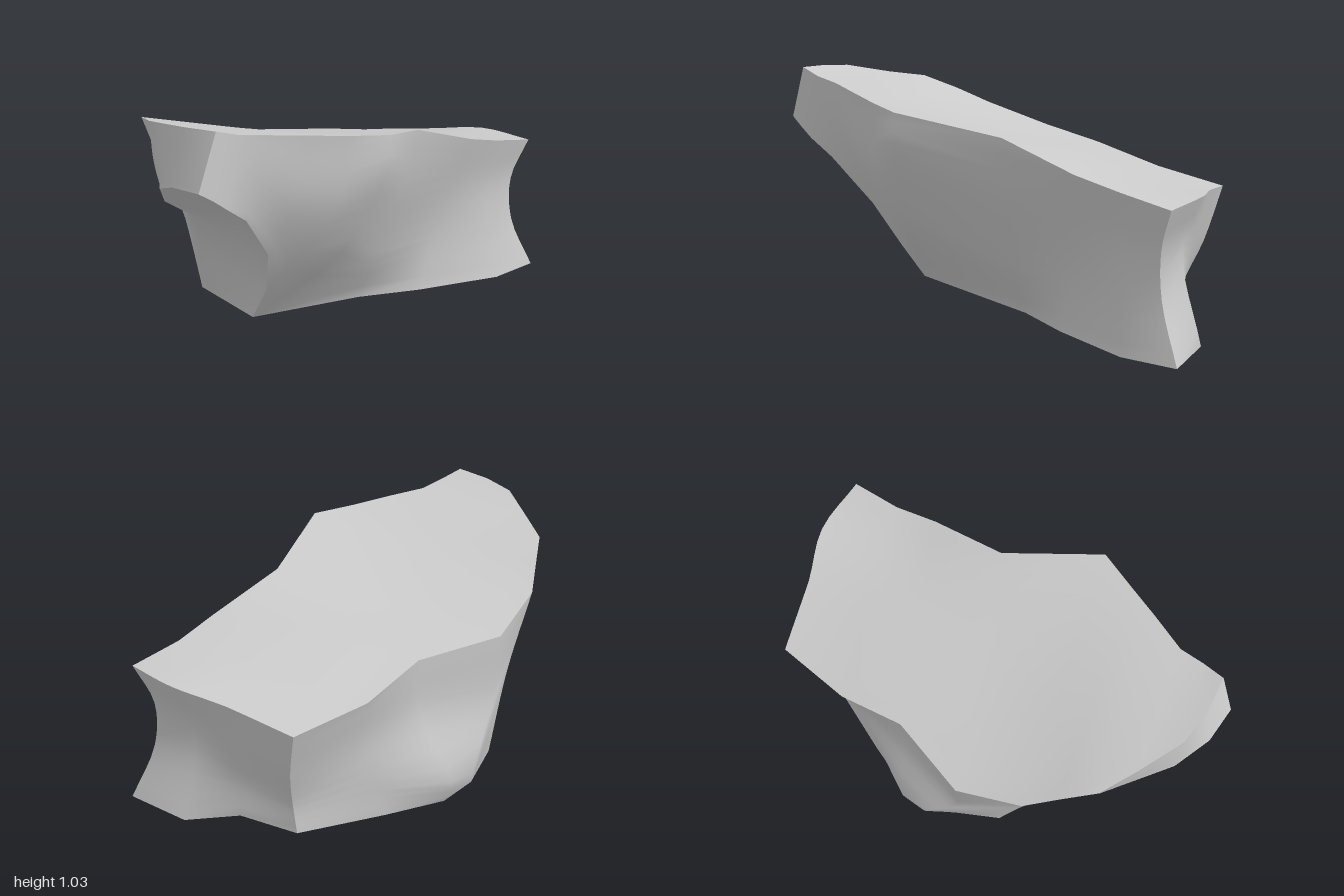
import * as THREE from 'three';

const STEPS = 12;

// Columns of control points, each running from the top rim down to the lower edge.
const FRONT = [
  [[-0.92, 1.03, 0.28], [-1, 0.8, 0.26]],
  [[-0.87, 1.015, 0.295], [-0.94, 0.76, 0.28]],
  [[-0.82, 1.0, 0.31], [-0.88, 0.715, 0.29]],
  [[-0.71, 0.98, 0.33], [-0.77, 0.64, 0.29]],
  [[-0.55, 0.96, 0.42], [-0.57, 0.7, 0.38], [-0.59, 0.44, 0.24]],
  [[-0.4, 0.94, 0.5], [-0.42, 0.62, 0.45], [-0.5, 0.24, 0.15]],
  [[-0.24, 0.925, 0.585], [-0.25, 0.8, 0.585], [-0.26, 0.62, 0.51], [-0.31, 0.4, 0.39], [-0.455, 0.07, 0.03]],
  [[0.17, 0.83, 0.42], [0.15, 0.55, 0.36], [0.12, 0.25, 0.24], [0.13, 0.01, 0.14]],
  [[0.52, 0.72, 0.46], [0.5, 0.5, 0.38], [0.44, 0.25, 0.32], [0.38, 0.01, 0.3]],
  [[0.72, 0.67, 0.46], [0.71, 0.45, 0.41], [0.72, 0.22, 0.43], [0.74, 0.01, 0.48]],
  [[0.95, 0.63, 0.49], [0.89, 0.45, 0.44], [0.9, 0.25, 0.445], [0.995, 0.01, 0.505]],
];
const BACK = [
  [[0.84, 0.56, -0.33], [0.79, 0.33, -0.255], [0.72, 0.13, -0.195], [0.715, 0, -0.21]],
  [[0.5, 0.6, -0.41], [0.46, 0.4, -0.36], [0.42, 0.18, -0.37], [0.38, 0.01, -0.4]],
  [[0.2, 0.68, -0.42], [0.19, 0.42, -0.43], [0.14, 0.13, -0.565], [0.13, 0.01, -0.515]],
  [[-0.15, 0.71, -0.57], [-0.13, 0.38, -0.545], [0.02, 0.12, -0.58], [-0.06, 0.015, -0.51]],
  [[-0.43, 0.8, -0.52], [-0.37, 0.42, -0.45], [-0.285, 0.04, -0.43]],
  [[-0.56, 0.87, -0.44], [-0.45, 0.55, -0.41], [-0.37, 0.25, -0.38]],
  [[-0.69, 0.93, -0.36], [-0.57, 0.68, -0.365], [-0.46, 0.46, -0.34]],
  [[-0.79, 0.96, -0.21], [-0.75, 0.78, -0.235], [-0.67, 0.58, -0.26]],
  [[-0.9, 1.005, -0.03], [-0.9, 0.735, -0.05]],
  [[-0.925, 1.02, 0.12], [-0.98, 0.79, 0.1]],
  FRONT[0],
];
const RIGHT = [
  FRONT[10],
  [[0.97, 0.635, 0.22], [0.88, 0.4, 0.2], [0.97, 0.01, 0.2]],
  [[0.9, 0.605, -0.02], [0.84, 0.32, 0.03], [0.79, 0.01, 0.05]],
  BACK[0],
];
// Gentle hollows and swellings along the middle of the top
const SWELL = [0, 0, 0, 0, 0, 0, 0, -0.025, 0.02, 0.01];

const top = (column) => column[0];
const foot = (column) => column[column.length - 1];

// Samples a column as a smooth curve or as straight pieces.
function sample(points, smooth) {
  const v = points.map((p) => new THREE.Vector3(...p));
  if (smooth) return new THREE.CatmullRomCurve3(v).getPoints(STEPS);
  return Array.from({ length: STEPS + 1 }, (_, k) => {
    const t = (k / STEPS) * (v.length - 1);
    const i = Math.min(Math.floor(t), v.length - 2);
    return v[i].clone().lerp(v[i + 1], t - i);
  });
}

// Skins neighbouring columns into one smoothly shaded face.
function skin(name, columns, smooth, material) {
  const positions = [];
  const index = [];
  columns.forEach((column, i) => {
    for (const p of sample(column, smooth)) positions.push(p.x, p.y, p.z);
    if (i === columns.length - 1) return;
    for (let k = 0; k < STEPS; k++) {
      const a = i * (STEPS + 1) + k;
      const c = a + STEPS + 1;
      index.push(a, a + 1, c, a + 1, c + 1, c);
    }
  });
  const geometry = new THREE.BufferGeometry();
  geometry.setAttribute('position', new THREE.Float32BufferAttribute(positions, 3));
  geometry.setIndex(index);
  geometry.computeVertexNormals();
  const mesh = new THREE.Mesh(geometry, material);
  mesh.name = name;
  return mesh;
}

export function createModel() {
  const group = new THREE.Group();
  group.name = 'rock';
  const material = new THREE.MeshStandardMaterial({ color: 0xcccccc, side: THREE.DoubleSide });

  // Curved walls
  group.add(skin('frontFace', FRONT, true, material));
  group.add(skin('plusXEndFace', RIGHT, true, material));
  group.add(skin('backFace', BACK, true, material));

  // Sloping top, from the back rim to the front rim
  const topColumns = SWELL.map((swell, i) => {
    const back = top(BACK[10 - i]);
    const front = top(FRONT[i]);
    const middle = back.map((b, axis) => (b + front[axis]) / 2 + (axis === 1 ? swell : 0));
    return [back, middle, front];
  });
  topColumns.push([...RIGHT].reverse().map(top));
  group.add(skin('topFace', topColumns, true, material));

  // Undercut slope below the overhang
  const undercut = FRONT.slice(0, 7).map((c, i) => [foot(c), foot(BACK[10 - i])]);
  group.add(skin('undercut', undercut, false, material));

  // Base
  const base = FRONT.slice(6, 10).map((c, i) => [foot(c), foot(BACK[4 - i])]);
  base.push(RIGHT.map(foot));
  group.add(skin('base', base, false, material));

  return group;
}
